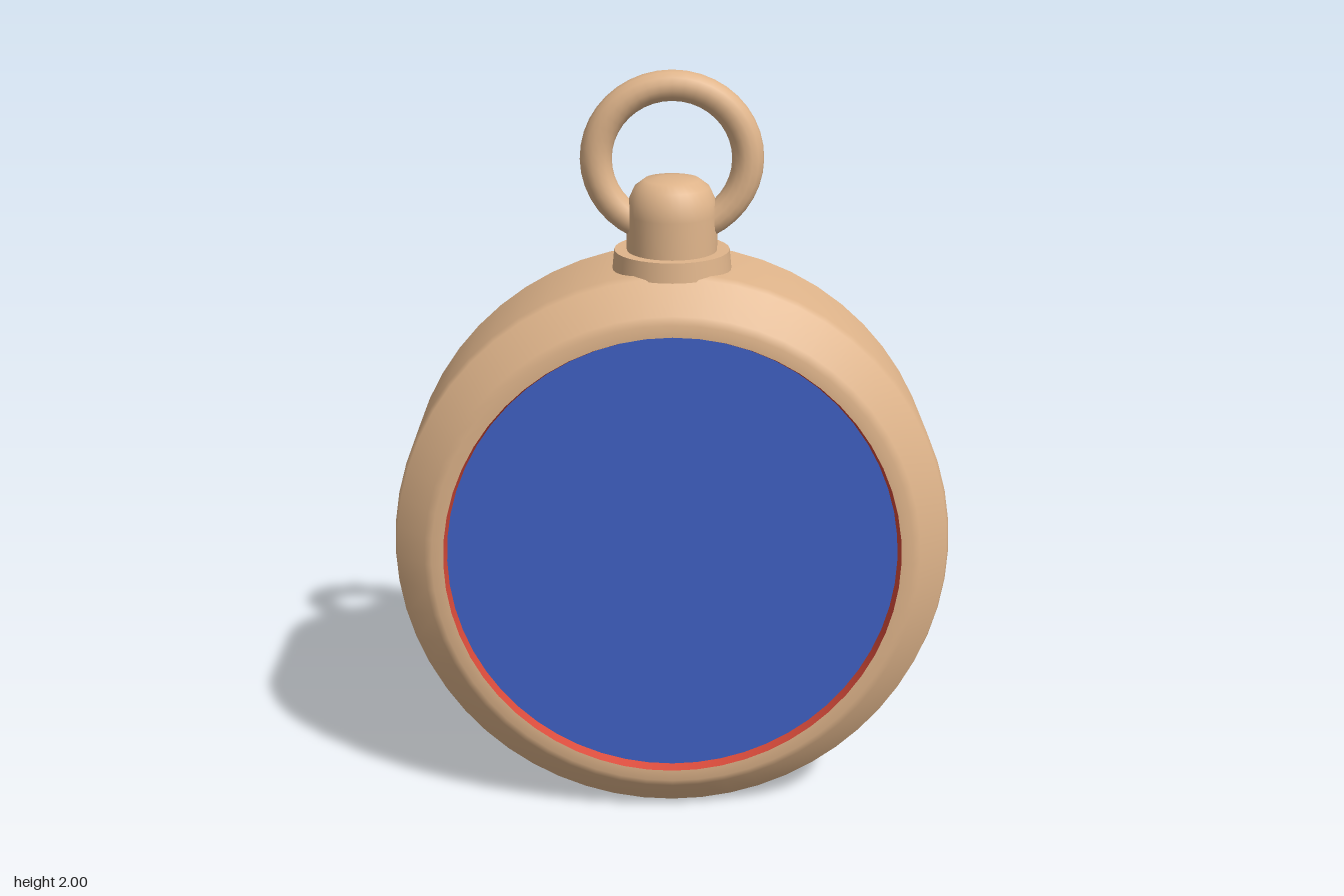
import * as THREE from 'three';
import { mergeVertices } from 'three/addons/utils/BufferGeometryUtils.js';

const mat = (name, color) => {
  const m = new THREE.MeshStandardMaterial({ color });
  m.name = name;
  return m;
};

export function createModel() {
  const gold = mat('warm gold', 0xe0b58b);
  const blue = mat('dial blue', 0x4062c6);
  const red = mat('lip red', 0xd84a3a);
  const mauve = mat('inner wall mauve', 0xac5a8a);
  const white = mat('needle white', 0xdedce4);
  const lavender = mat('needle lavender', 0x9c98d4);
  const grey = mat('ring grey', 0xcfcecb);

  const root = new THREE.Group();
  root.name = 'compass';
  const add = (parent, name, geo, material, x = 0, y = 0, z = 0) => {
    const mesh = new THREE.Mesh(geo, material);
    mesh.name = name;
    mesh.position.set(x, y, z);
    parent.add(mesh);
    return mesh;
  };
  const lathe = (pts, segments = 56) =>
    new THREE.LatheGeometry(pts.map(([r, h]) => new THREE.Vector2(r, h)), segments);
  // profile of radius and depth, turned about the z axis
  const round = (pts) => lathe(pts).rotateX(Math.PI / 2);

  // slightly tall round case
  const body = new THREE.Group();
  body.name = 'case';
  body.position.y = 0.757;
  body.scale.y = 1.037;
  root.add(body);
  add(body, 'caseShell', round([
    [0.585, -0.165], [0.592, -0.185], [0.61, -0.195], [0.655, -0.195], [0.672, -0.19],
    [0.722, -0.152], [0.73, -0.138], [0.73, 0.145], [0.722, 0.166],
    [0.645, 0.226], [0.625, 0.235], [0.595, 0.235],
  ]), gold);
  add(body, 'frontLip', round([[0.595, 0.235], [0.586, 0.205]]), red);
  add(body, 'frontDisc', new THREE.CircleGeometry(0.589, 56), blue, 0, 0, 0.21);
  add(body, 'recessWall', round([[0.572, -0.066], [0.586, -0.165]]), mauve);

  // shallow bowl of the dial on the back
  const floorZ = -0.04;
  add(body, 'dialFloor', round([[0, floorZ], [0.5, floorZ], [0.545, -0.045], [0.572, -0.066]]), blue);
  add(body, 'dialRing', new THREE.RingGeometry(0.44, 0.464, 56).rotateY(Math.PI), grey, 0, 0, floorZ - 0.004);

  // one star point along +x: softly ridged roof plus side walls down to the floor
  const blade = (length, w, edgeZ, tipZ) => {
    const C = [0, 0, -0.158], T = [length, 0, tipZ], Tb = [length, 0, floorZ];
    const roof = [], walls = [];
    for (const s of [1, -1]) {
      const E = [0.165, s * w, edgeZ], Eb = [0.165, s * (w + 0.012), floorZ];
      const tri = (list, a, b, c) => list.push(...a, ...(s > 0 ? b : c), ...(s > 0 ? c : b));
      tri(roof, C, E, T);
      tri(walls, E, Eb, Tb);
      tri(walls, E, Tb, T);
    }
    return [roof, walls].map((list, i) => {
      const flat = new THREE.BufferGeometry();
      flat.setAttribute('position', new THREE.Float32BufferAttribute(list, 3));
      const g = i === 0 ? mergeVertices(flat) : flat;
      g.computeVertexNormals();
      return g;
    });
  };

  const star = new THREE.Group();
  star.name = 'star';
  star.position.y = 0.012;
  body.add(star);
  // angle in degrees and length of each point; the pale pair is the needle
  const points = [
    [0, 0.54], [40, 0.535, true], [90, 0.55], [139, 0.555],
    [180, 0.54], [225, 0.555, true], [270, 0.56], [319, 0.53],
  ];
  for (const [angle, length, needle] of points) {
    const [roof, walls] = needle ? blade(length, 0.082, -0.1, -0.1) : blade(length, 0.08, -0.1, -0.09);
    const point = new THREE.Group();
    point.name = needle ? 'needlePoint' : 'starPoint';
    point.rotation.z = THREE.MathUtils.degToRad(angle);
    star.add(point);
    add(point, 'pointRoof', roof, needle ? white : gold);
    add(point, 'pointWalls', walls, needle ? lavender : gold);
  }
  add(star, 'hub', new THREE.SphereGeometry(0.076, 24, 16), gold, 0, 0, -0.16);

  // crown and hanging ring
  add(root, 'collar', new THREE.CylinderGeometry(0.147, 0.152, 0.05, 32), gold, 0, 1.522, 0.03);
  add(root, 'stem', lathe([
    [0.115, 1.46], [0.115, 1.64], [0.11, 1.675], [0.095, 1.708], [0.07, 1.727], [0.03, 1.732], [0, 1.732],
  ], 32), gold, 0, 0, 0.035);
  const ring = new THREE.TorusGeometry(0.19, 0.04, 14, 40).scale(1, 0.96, 1);
  add(root, 'hangingRing', ring, gold, 0, 1.779, 0.04);

  return root;
}
